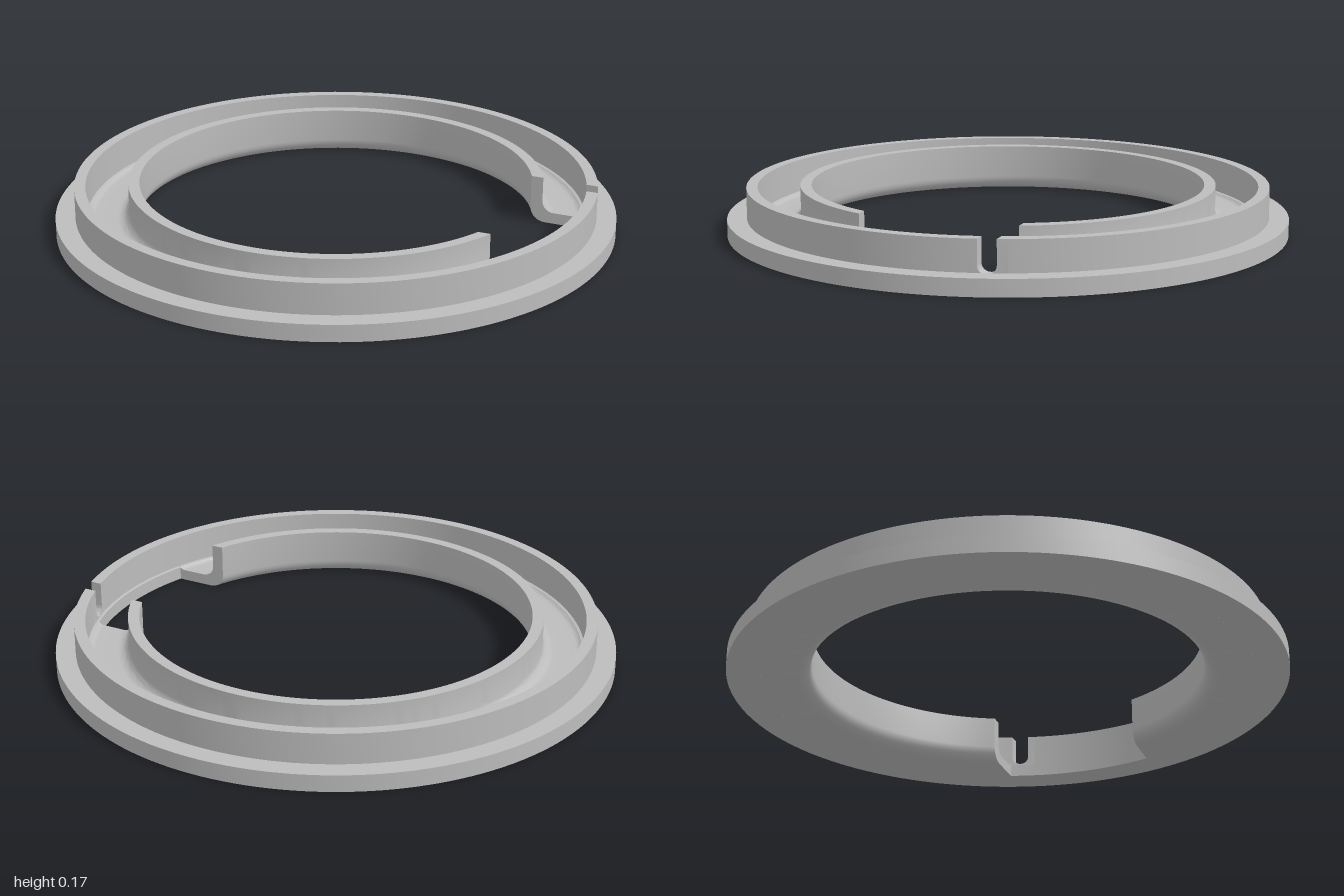
import * as THREE from 'three';
import { toCreasedNormals } from 'three/addons/utils/BufferGeometryUtils.js';

const grey = new THREE.MeshStandardMaterial({ color: 0xbcbcbc });
grey.name = 'grey';

const GAP = 0.28;    // half width of the gap on the left side
const CUT = 0.88;    // radius the gap reaches out to
const HEIGHT = 0.17;

// Points of a fillet arc, angles in degrees
function arc(cx, cy, r, from, to, n = 8) {
  return Array.from({ length: n + 1 }, (_, i) => {
    const a = THREE.MathUtils.degToRad(from + (to - from) * i / n);
    return [cx + r * Math.cos(a), cy + r * Math.sin(a)];
  });
}

// Sweeps a closed profile of [radius, y] around y, from the plane z = z0
// round the back to the plane z = z1, so that its ends are flat cuts
function sweep(profile, z0, z1, segments = 160) {
  const pts = [...profile, profile[0]].map(([r, y]) => new THREE.Vector2(r, y));
  const geo = new THREE.LatheGeometry(pts, segments);
  const pos = geo.attributes.position;
  for (let i = 0; i < pos.count; i++) {
    const { x: r, y } = pts[i % pts.length];
    const t = Math.floor(i / pts.length) / segments;
    const start = Math.asin(z0 / r);
    const end = Math.PI * 2 + Math.asin(z1 / r);
    const a = end + (start - end) * t;
    pos.setXYZ(i, r * Math.cos(a), y, r * Math.sin(a));
  }
  return toCreasedNormals(geo, 0.5);
}

// Flat end face of the channel at one side of the gap
function endFace(profile, side) {
  const shape = new THREE.Shape(profile.map(([r, y]) =>
    new THREE.Vector2(Math.sqrt(r * r - GAP * GAP), y)));
  const geo = new THREE.ShapeGeometry(shape);
  geo.translate(0, 0, side * GAP);
  if (side > 0) geo.index.array.reverse();
  geo.computeVertexNormals();
  return geo;
}

// Short piece of the outer wall with a round-bottomed slot
function slottedWall(u0, u1, inner, outer, bottom) {
  const c = 0.247, r = 0.03, cy = 0.085;
  const shape = new THREE.Shape();
  shape.moveTo(u0, bottom);
  shape.lineTo(u1, bottom);
  shape.lineTo(u1, HEIGHT);
  shape.lineTo(c + r, HEIGHT);
  shape.lineTo(c + r, cy);
  shape.absarc(c, cy, r, 0, Math.PI, true);
  shape.lineTo(c - r, HEIGHT);
  shape.lineTo(u0, HEIGHT);
  shape.closePath();
  const geo = new THREE.ExtrudeGeometry(shape, { depth: 1, bevelEnabled: false, curveSegments: 16 });
  const pos = geo.attributes.position;
  for (let i = 0; i < pos.count; i++) {
    const u = pos.getX(i);
    const radius = inner + (outer - inner) * pos.getZ(i);
    pos.setXYZ(i, Math.sqrt(radius * radius - u * u), pos.getY(i), -u);
  }
  return toCreasedNormals(geo, 0.5);
}

export function createModel() {
  const model = new THREE.Group();
  model.name = 'channelRing';
  const add = (name, geo) => {
    const mesh = new THREE.Mesh(geo, grey);
    mesh.name = name;
    model.add(mesh);
  };

  // Inner wall and channel floor, interrupted by the gap
  const channel = [
    [CUT, 0],
    ...arc(0.86, 0.07, 0.03, -48.2, -90),
    ...arc(0.78, 0.08, 0.04, 270, 180),
    [0.74, HEIGHT], [0.70, HEIGHT],
    ...arc(0.75, 0.05, 0.05, 180, 270),
  ];
  add('channel', sweep(channel, GAP, -GAP));
  add('gapFaceFront', endFace(channel, 1));
  add('gapFaceBack', endFace(channel, -1));

  // Full flange under the outer wall
  add('flange', sweep([
    [CUT, 0], [1, 0], [1, 0.06], [0.93, 0.06], [0.93, 0.05], [0.89, 0.05], [CUT, 0.0476],
  ], 0, 0));

  // Outer wall with its slotted piece
  add('outerWall', sweep([
    [0.89, 0.05], [0.93, 0.05], [0.93, HEIGHT], [0.89, HEIGHT],
  ], -0.19, -0.31));
  add('slottedWall', slottedWall(0.19, 0.31, 0.89, 0.93, 0.05));

  return model;
}
